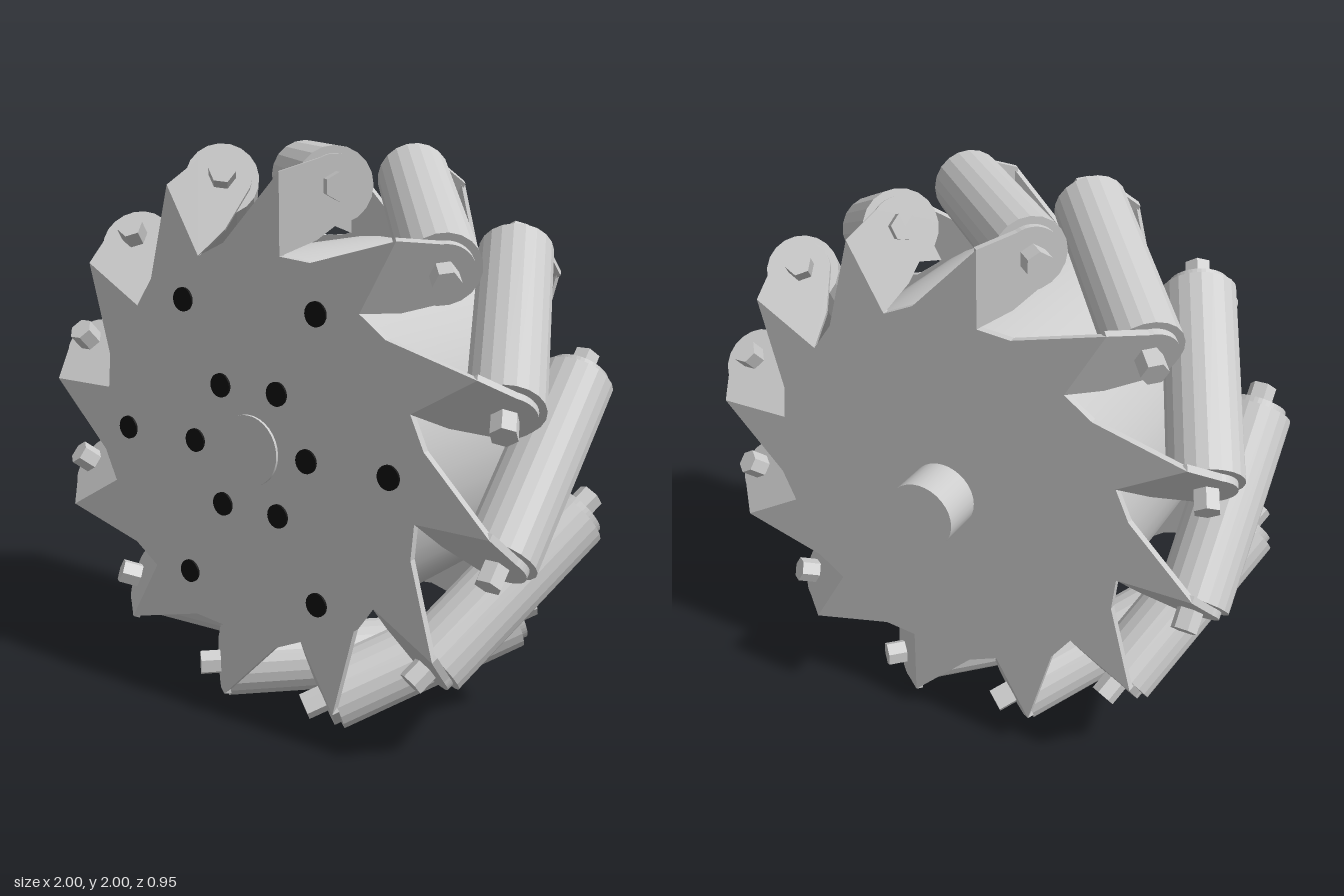
import * as THREE from 'three';

const COUNT = 12;          // rollers around the rim
const HALF = 0.3925;       // half width between the outer plate faces
const SHEET = 0.025;       // plate thickness
const BEND = 0.135;        // sideways offset of each tab's bend line
const BEND_LOW = 0.655;    // inner end of the bend line
const BEND_TOP = 0.92;     // outer end of the bend line
const AXLE = 0.875;        // distance of the roller axes from the wheel centre
const MID_Z = 0.0725;      // centre plane of the wheel

const grey = new THREE.MeshStandardMaterial({ color: 0xcccccc, flatShading: true });
const smoothGrey = new THREE.MeshStandardMaterial({ color: 0xcccccc });
const black = new THREE.MeshStandardMaterial({ color: 0x111111 });

function add(parent, name, geometry, material = grey) {
  const mesh = new THREE.Mesh(geometry, material);
  mesh.name = name;
  parent.add(mesh);
  return mesh;
}

// Cylinder along z between two depths
function rod(radius, z0, z1, sides) {
  return new THREE.CylinderGeometry(radius, radius, z1 - z0, sides)
    .rotateX(Math.PI / 2).translate(0, 0, (z0 + z1) / 2);
}

// Sheet whose outer face lies on z = 0
function sheet(shape) {
  return new THREE.ExtrudeGeometry(shape, { depth: SHEET, bevelEnabled: false, curveSegments: 10 })
    .translate(0, 0, -SHEET);
}

// Star-shaped plate with one slanted, broad-based tooth per roller
function plateGeometry() {
  const tooth = [[-0.1, 0.685], [0, 0.785], [BEND, BEND_TOP], [BEND, BEND_LOW]];
  const points = [];
  for (let i = 0; i < COUNT; i++) {
    for (const [x, y] of tooth) {
      points.push(new THREE.Vector2(x, y).rotateAround(new THREE.Vector2(), -i * 2 * Math.PI / COUNT));
    }
  }
  return sheet(new THREE.Shape(points));
}

// Rounded tab, folded from the tooth to carry a roller end
function tabGeometry() {
  const shape = new THREE.Shape();
  shape.moveTo(0, BEND_TOP);
  shape.lineTo(0, BEND_LOW);
  shape.lineTo(0.12, 0.705);
  shape.absarc(0.182, AXLE, 0.1, -Math.PI / 4, Math.PI * 2 / 3, false);
  shape.closePath();
  return sheet(shape);
}

export function createModel() {
  const model = new THREE.Group();
  model.name = 'rollerWheel';
  const wheel = new THREE.Group();
  wheel.name = 'wheel';
  wheel.position.set(0, 1, MID_Z);
  model.add(wheel);

  // Hub drum and through shaft
  add(wheel, 'hub', rod(0.655, -HALF + SHEET / 2, HALF - SHEET / 2, 48), smoothGrey);
  add(wheel, 'shaft', rod(0.122, -0.475 - MID_Z, 0.475 - MID_Z, 32), smoothGrey);

  // Front and back sides are the same pressing turned half way round
  const plate = plateGeometry();
  const tab = tabGeometry();
  const bolt = rod(0.046, 0.33, 0.445, 6);
  for (const [side, turn] of [['front', 0], ['back', Math.PI]]) {
    const half = new THREE.Group();
    half.name = side + 'Side';
    half.rotation.y = turn;
    wheel.add(half);
    add(half, side + 'Plate', plate).position.z = HALF;
    for (let i = 0; i < COUNT; i++) {
      const arm = new THREE.Group();
      arm.name = side + 'Arm';
      arm.rotation.z = i * 2 * Math.PI / COUNT;
      half.add(arm);
      const fold = add(arm, 'tab', tab);
      fold.position.set(BEND, 0, HALF);
      fold.rotation.y = Math.PI / 4;
      const head = add(arm, 'bolt', bolt);
      head.position.y = AXLE;
      head.rotation.y = Math.PI / 4;
    }
  }

  // Rollers set at 45 degrees to the wheel axis
  const roller = rod(1 - AXLE, -0.346, 0.346, 20);
  for (let i = 0; i < COUNT; i++) {
    const spoke = new THREE.Group();
    spoke.name = 'rollerMount';
    spoke.rotation.z = i * 2 * Math.PI / COUNT;
    wheel.add(spoke);
    const mesh = add(spoke, 'roller', roller);
    mesh.position.y = AXLE;
    mesh.rotation.y = Math.PI / 4;
  }

  // Two rings of dark mounting holes on the front plate
  const hole = rod(0.041, HALF - 0.01, HALF + 0.008, 24);
  for (const radius of [0.24, 0.56]) {
    for (let i = 0; i < 6; i++) {
      const a = i * Math.PI / 3;
      add(wheel, 'mountingHole', hole, black).position.set(radius * Math.cos(a), radius * Math.sin(a), 0);
    }
  }
  return model;
}
